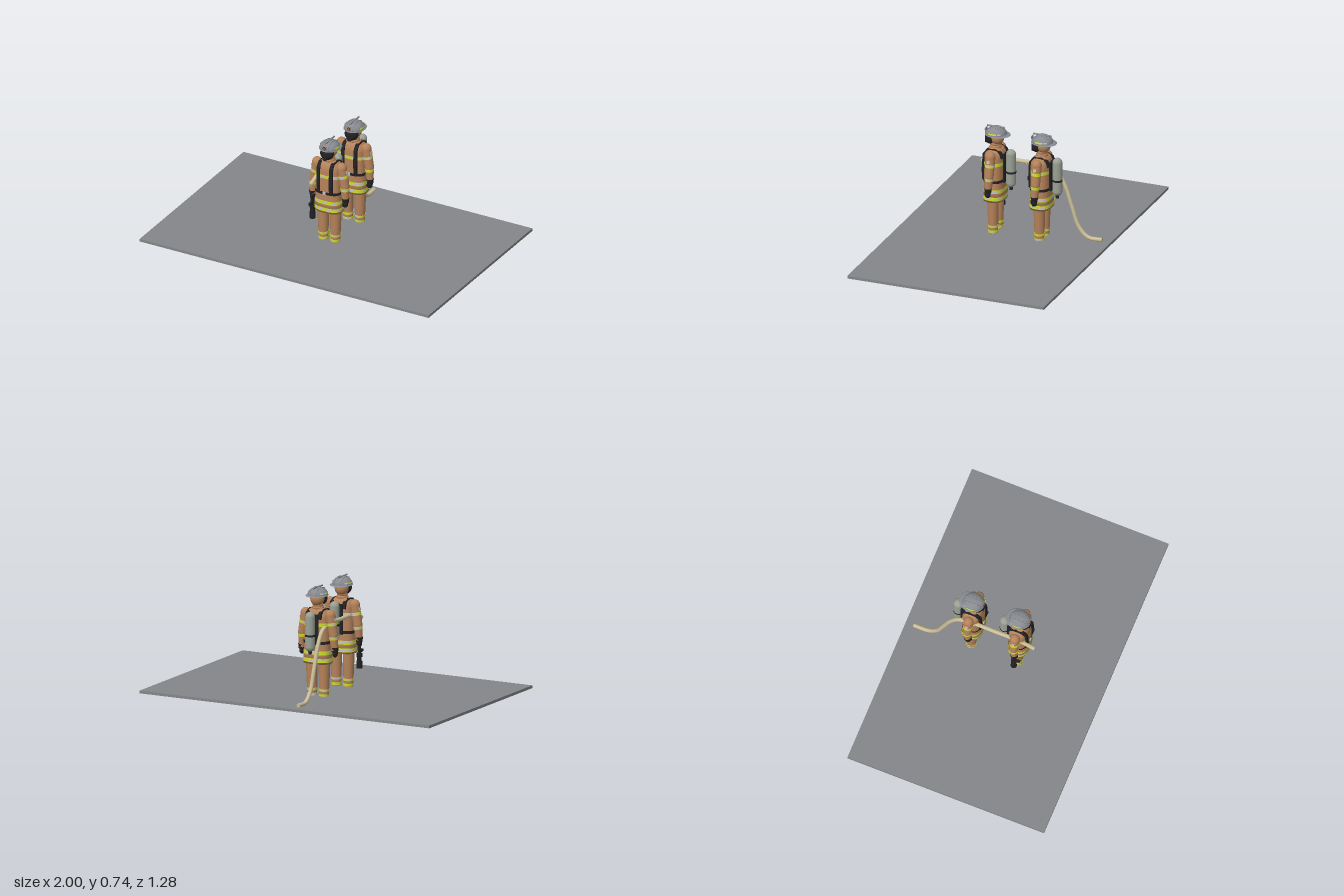
import * as THREE from 'three';
import { RoundedBoxGeometry } from 'three/addons/geometries/RoundedBoxGeometry.js';

const mat = (name, color, side = THREE.FrontSide) => {
  const m = new THREE.MeshStandardMaterial({ color, side });
  m.name = name;
  return m;
};
const M = {
  tan: mat('turnout tan', 0xb5825a),
  black: mat('black', 0x222224),
  yellow: mat('reflective yellow', 0xcfe022, THREE.DoubleSide),
  silver: mat('reflective silver', 0xbcc0c6, THREE.DoubleSide),
  helmet: mat('helmet grey', 0x888b90),
  tank: mat('tank grey green', 0x9aa194),
  hose: mat('hose canvas', 0xcabd96),
  ground: mat('ground grey', 0x858689),
  badge: mat('badge orange', 0xb8683a),
};
const V = (x, y, z) => new THREE.Vector3(x, y, z);
const UP = V(0, 1, 0);

function add(parent, name, geo, material, x = 0, y = 0, z = 0) {
  const m = new THREE.Mesh(geo, material);
  m.name = name;
  m.position.set(x, y, z);
  parent.add(m);
  return m;
}
const box = (w, h, d) => new THREE.BoxGeometry(w, h, d);
const ball = (rx, ry, rz) => new THREE.SphereGeometry(1, 28, 18).scale(rx, ry, rz);

// Tapered cylinder from point a to point b
function limb(parent, name, a, b, ra, rb, material) {
  const d = b.clone().sub(a);
  const m = add(parent, name, new THREE.CylinderGeometry(rb, ra, d.length(), 24), material);
  m.position.copy(a).add(b).multiplyScalar(0.5);
  m.quaternion.setFromUnitVectors(UP, d.normalize());
  return m;
}

// Yellow-silver-yellow stripe around a limb between fractions t0 and t1
function limbStripe(parent, name, a, b, ra, rb, t0, t1) {
  const rad = (t) => ra + (rb - ra) * t + 0.0015;
  for (let i = 0; i < 3; i++) {
    const s = t0 + ((t1 - t0) * i) / 3, e = t0 + ((t1 - t0) * (i + 1)) / 3;
    limb(parent, name, a.clone().lerp(b, s), a.clone().lerp(b, e), rad(s), rad(e), i === 1 ? M.silver : M.yellow);
  }
}

// Coat profile: [radius, height], revolved and squared off
const COAT = [[0, 0.27], [0.089, 0.27], [0.086, 0.33], [0.083, 0.4], [0.082, 0.55], [0.077, 0.575], [0.062, 0.595], [0.034, 0.61], [0, 0.61]];
function coatRadius(y) {
  for (let i = 2; i < COAT.length; i++) {
    const [r0, y0] = COAT[i - 1], [r1, y1] = COAT[i];
    if (y <= y1) return r0 + ((r1 - r0) * (y - y0)) / (y1 - y0);
  }
  return 0;
}
function coatShape(profile) {
  const g = new THREE.LatheGeometry(profile.map(([r, y]) => new THREE.Vector2(r, y)), 48);
  const p = g.attributes.position;
  const soft = (v) => Math.sign(v) * Math.abs(v) ** 0.72;
  for (let i = 0; i < p.count; i++) {
    const x = p.getX(i), z = p.getZ(i), r = Math.hypot(x, z);
    if (r > 1e-6) p.setXYZ(i, r * soft(x / r), p.getY(i), 0.73 * r * soft(z / r));
  }
  g.computeVertexNormals();
  return g;
}
function coatBand(parent, name, y0, y1, material, out = 0.002) {
  add(parent, name, coatShape([[coatRadius(y0) + out, y0], [coatRadius(y1) + out, y1]]), material);
}

// Flat strap running up the chest and over the shoulder
function strapGeometry(width) {
  const path = [[0.06, 0.4], [0.061, 0.5], [0.058, 0.565], [0.036, 0.597], [-0.012, 0.602], [-0.048, 0.585], [-0.062, 0.55]];
  const inner = path.map(([z, y]) => new THREE.Vector2(z * 0.9, y - 0.003));
  const outer = path.map(([z, y]) => new THREE.Vector2(z * 1.1, y + 0.004));
  const shape = new THREE.Shape([...outer, ...inner.reverse()]);
  return new THREE.ExtrudeGeometry(shape, { depth: width, bevelEnabled: false }).rotateY(-Math.PI / 2).translate(width / 2, 0, 0);
}

function addHelmet(parent) {
  const h = new THREE.Group();
  h.name = 'helmet';
  parent.add(h);
  const dome = new THREE.SphereGeometry(1, 32, 12, 0, Math.PI * 2, 0, Math.PI / 2);
  add(h, 'dome', dome.scale(0.062, 0.047, 0.066), M.helmet, 0, 0.689, -0.003);
  const brim = new THREE.CylinderGeometry(0.9, 1, 1, 40);
  add(h, 'brim', brim.scale(0.068, 0.005, 0.08), M.helmet, 0, 0.689, -0.013);
  add(h, 'crest', new RoundedBoxGeometry(0.01, 0.009, 0.118, 2, 0.003), M.helmet, 0, 0.736, -0.002);
  for (const s of [-1, 1]) {
    const rib = add(h, 'rib', new THREE.TorusGeometry(0.99, 0.045, 6, 28, Math.PI), M.helmet, s * 0.022, 0.689, -0.003);
    rib.scale.set(0.062, 0.046, 0.05);
    rib.rotation.y = Math.PI / 2;
  }
  // Side reflective marks
  for (const [name, a, len, m] of [['yellow mark', 0.35, 0.8, M.yellow], ['silver mark', 1.25, 0.35, M.silver]]) {
    for (const s of [-1, 1]) {
      const start = s > 0 ? Math.PI / 2 - 0.8 + a : -Math.PI / 2 + 0.8 - a - len;
      const g = new THREE.CylinderGeometry(0.945, 0.985, 1, 12, 1, true, start, len);
      add(h, name, g.scale(0.0625, 0.009, 0.0665), m, 0, 0.703, -0.003);
    }
  }
  // Front shield with badge
  add(h, 'shield', new RoundedBoxGeometry(0.026, 0.03, 0.006, 2, 0.0025), M.helmet, 0, 0.708, 0.062);
  add(h, 'badge rim', new THREE.CylinderGeometry(0.01, 0.01, 0.003, 20).rotateX(Math.PI / 2), M.black, 0, 0.709, 0.066);
  add(h, 'badge', new THREE.CylinderGeometry(0.007, 0.007, 0.004, 20).rotateX(Math.PI / 2), M.badge, 0, 0.709, 0.067);
}

function addAirPack(parent) {
  const p = new THREE.Group();
  p.name = 'airPack';
  parent.add(p);
  add(p, 'back plate', new RoundedBoxGeometry(0.08, 0.19, 0.012, 2, 0.005), M.black, 0, 0.485, -0.067);
  add(p, 'tank', new THREE.CapsuleGeometry(0.03, 0.185, 8, 28), M.tank, 0, 0.477, -0.1);
  add(p, 'tank band', new THREE.CylinderGeometry(0.0315, 0.0315, 0.012, 28), M.black, 0, 0.455, -0.1);
  add(p, 'band mount', box(0.03, 0.012, 0.035), M.black, 0, 0.455, -0.08);
  add(p, 'valve', new THREE.CylinderGeometry(0.012, 0.01, 0.025, 16), M.black, 0, 0.35, -0.1);
  for (const s of [-1, 1]) add(p, 'shoulder strap', strapGeometry(0.022), M.black, s * 0.043, 0, 0);
  coatBand(p, 'waist belt', 0.394, 0.412, M.black, 0.004);
  add(p, 'buckle', box(0.018, 0.018, 0.006), M.silver, 0, 0.403, 0.065);
  add(p, 'gauge', new RoundedBoxGeometry(0.016, 0.03, 0.01, 2, 0.003), M.black, 0.045, 0.46, 0.068);
}

function firefighter(name) {
  const f = new THREE.Group();
  f.name = name;

  // Legs and boots
  for (const s of [-1, 1]) {
    const hip = V(s * 0.045, 0.32, 0), ankle = V(s * 0.04, 0.035, 0);
    limb(f, 'trouser leg', hip, ankle, 0.037, 0.029, M.tan);
    limbStripe(f, 'trouser stripe', hip, ankle, 0.037, 0.029, 0.73, 0.78);
    limbStripe(f, 'trouser stripe', hip, ankle, 0.037, 0.029, 0.84, 0.9);
    add(f, 'boot', new RoundedBoxGeometry(0.052, 0.028, 0.1, 3, 0.012), M.black, s * 0.04, 0.027, 0.02);
    add(f, 'boot sole', new RoundedBoxGeometry(0.057, 0.01, 0.109, 2, 0.004), M.black, s * 0.04, 0.012, 0.02);
  }

  // Coat with reflective hem, waist and chest stripes
  add(f, 'coat', coatShape(COAT), M.tan);
  for (const [y, h] of [[0.281, 0.024], [0.328, 0.024], [0.503, 0.021]]) {
    coatBand(f, 'coat stripe', y, y + h / 3, M.yellow);
    coatBand(f, 'coat stripe', y + h / 3, y + (2 * h) / 3, M.silver);
    coatBand(f, 'coat stripe', y + (2 * h) / 3, y + h, M.yellow);
  }

  // Arms
  for (const s of [-1, 1]) {
    const sh = V(s * 0.085, 0.568, 0), el = V(s * 0.106, 0.45, 0), wr = V(s * 0.113, 0.355, 0.004);
    add(f, 'shoulder', ball(0.032, 0.034, 0.031), M.tan, sh.x, sh.y, sh.z);
    limb(f, 'upper arm', sh, el, 0.031, 0.028, M.tan);
    add(f, 'elbow', ball(0.028, 0.028, 0.028), M.tan, el.x, el.y, el.z);
    limb(f, 'forearm', el, wr, 0.028, 0.021, M.tan);
    limbStripe(f, 'sleeve stripe', sh, el, 0.031, 0.028, 0.38, 0.53);
    limbStripe(f, 'cuff stripe', el, wr, 0.028, 0.021, 0.12, 0.3);
    const patch = add(f, 'arm patch', box(0.004, 0.018, 0.018), M.silver, s * 0.1205, 0.546, 0);
    patch.rotation.z = s * 0.18;
    limb(f, 'glove cuff', V(s * 0.113, 0.372, 0.004), V(s * 0.114, 0.342, 0.004), 0.0235, 0.019, M.black);
    add(f, 'glove', ball(0.016, 0.026, 0.019), M.black, s * 0.114, 0.335, 0.006);
    add(f, 'thumb', ball(0.007, 0.016, 0.008), M.black, s * 0.108, 0.336, 0.022);
  }

  // Collar, hood and face mask
  for (const [y, r] of [[0.61, 0.024], [0.627, 0.02]]) {
    add(f, 'collar', new THREE.TorusGeometry(r, 0.013, 12, 32).rotateX(Math.PI / 2), M.tan, 0, y, 0);
  }
  add(f, 'neck', new THREE.CylinderGeometry(0.027, 0.027, 0.05, 24), M.tan, 0, 0.625, 0);
  add(f, 'hood', ball(0.043, 0.046, 0.043), M.tan, 0, 0.667, -0.01);
  add(f, 'face mask', ball(0.044, 0.042, 0.036), M.black, 0, 0.662, 0.03);
  add(f, 'mask regulator', new THREE.CylinderGeometry(0.013, 0.015, 0.02, 20).rotateX(Math.PI / 2), M.black, 0, 0.636, 0.055);

  addHelmet(f);
  addAirPack(f);
  return f;
}

// Hand nozzle carried upright beside the leg
function nozzle() {
  const n = new THREE.Group();
  n.name = 'handNozzle';
  for (const [r0, r1, y0, y1] of [[0.019, 0.017, 0.18, 0.225], [0.014, 0.014, 0.225, 0.25], [0.018, 0.018, 0.25, 0.272], [0.011, 0.011, 0.272, 0.36]]) {
    limb(n, 'nozzle barrel', V(0, y0, 0), V(0, y1, 0), r0, r1, M.black);
  }
  add(n, 'nozzle grip', box(0.014, 0.016, 0.045), M.black, 0, 0.285, 0.018);
  return n;
}

export function createModel() {
  const model = new THREE.Group();
  add(model, 'ground slab', box(2, 0.017, 1.28), M.ground, 0, 0.0515, 0);

  const lead = firefighter('leadFirefighter');
  lead.position.z = 0.08;
  const tool = nozzle();
  tool.position.set(-0.115, 0, 0.004);
  lead.add(tool);
  const second = firefighter('secondFirefighter');
  second.position.set(0, -0.007, -0.222);
  model.add(lead, second);

  // Hose carried along the right side and trailing to the ground
  const path = [[0.195, 0.468], [0.15, 0.485], [0.09, 0.503], [-0.06, 0.505], [-0.2, 0.505], [-0.29, 0.475], [-0.345, 0.39],
    [-0.392, 0.255], [-0.435, 0.135], [-0.495, 0.075], [-0.585, 0.071]];
  const curve = new THREE.CatmullRomCurve3(path.map(([z, y]) => V(-0.066, y, z)));
  add(model, 'hose', new THREE.TubeGeometry(curve, 90, 0.0125, 16), M.hose);
  for (const [t, dir] of [[0, -1], [1, 1]]) {
    const p = curve.getPoint(t), d = curve.getTangent(t).multiplyScalar(dir * 0.002);
    limb(model, 'hose end', p.clone().sub(d), p.clone().add(d), 0.0125, 0.0125, M.hose);
  }
  return model;
}
